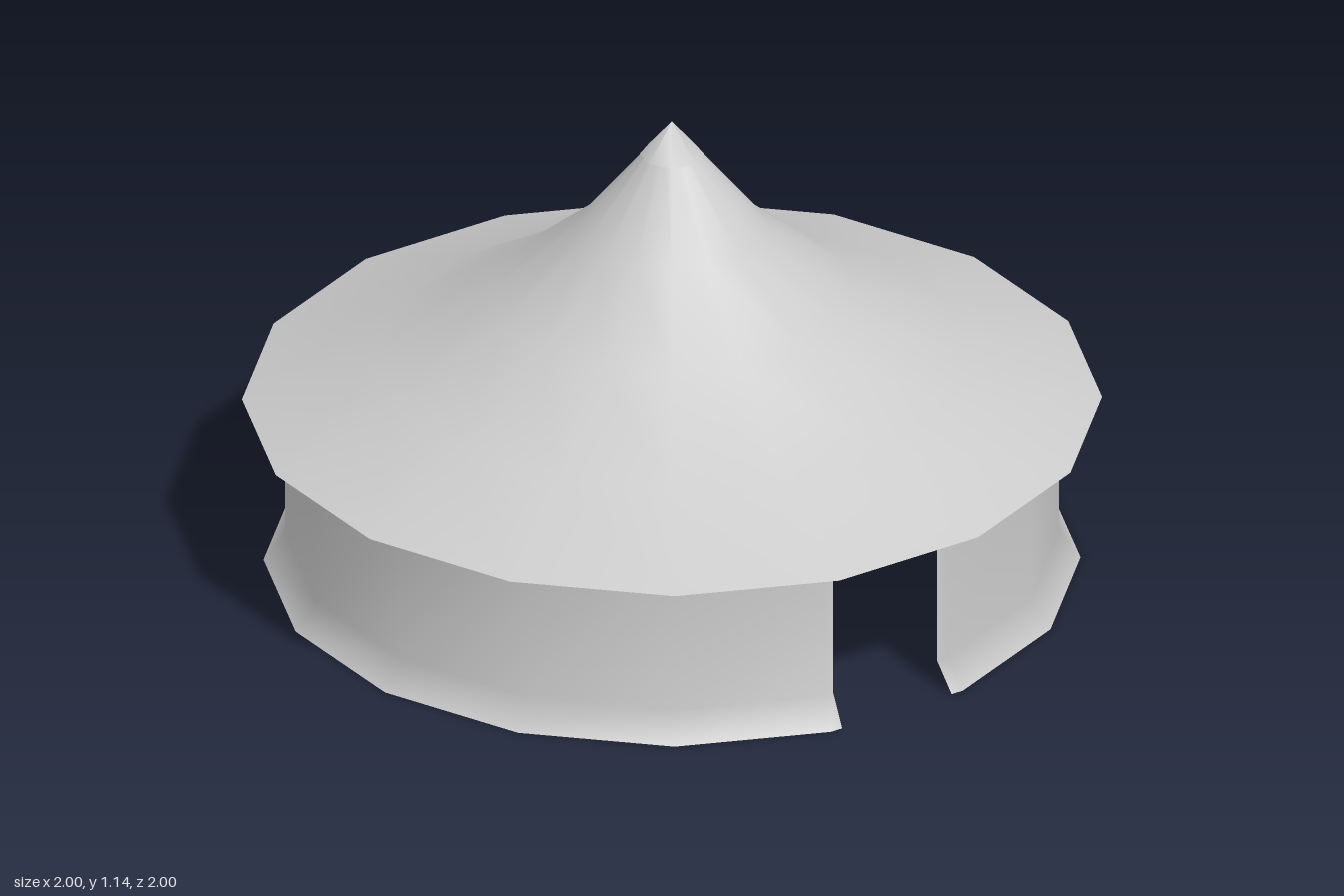
import * as THREE from 'three';

const SIDES = 16;
const material = new THREE.MeshStandardMaterial({ color: 0xcccccc, side: THREE.DoubleSide });

function add(group, name, geometry) {
  const mesh = new THREE.Mesh(geometry, material);
  mesh.name = name;
  group.add(mesh);
  return mesh;
}

// Sixteen-sided wall with a flared skirt; the last bay holds the doorway.
function wallGeometry() {
  const profile = [[0.95, 0], [0.9, 0.07], [0.9, 0.395], [0.9, 0.455]];
  const corner = i => {
    const a = (i / SIDES) * Math.PI * 2;
    return new THREE.Vector2(Math.sin(a), Math.cos(a));
  };
  const columns = [];
  for (let i = 0; i < SIDES; i++) columns.push(corner(i));
  // Door jambs lie on the straight side between the last corner and the first
  const doorColumn = columns.length;
  for (const t of [0.085, 0.915]) columns.push(corner(SIDES - 1).lerp(corner(SIDES), t));

  const positions = [], indices = [], rows = profile.length;
  for (const c of columns) for (const [r, y] of profile) positions.push(c.x * r, y, c.y * r);
  for (let i = 0; i < columns.length; i++) {
    const next = (i + 1) % columns.length;
    for (let j = 0; j < rows - 1; j++) {
      if (i === doorColumn && j < 2) continue; // open doorway below the lintel
      const a = i * rows + j, b = next * rows + j;
      indices.push(a, b, b + 1, a, b + 1, a + 1);
    }
  }
  const geometry = new THREE.BufferGeometry();
  geometry.setAttribute('position', new THREE.Float32BufferAttribute(positions, 3));
  geometry.setIndex(indices);
  geometry.computeVertexNormals();
  return geometry;
}

export function createModel() {
  const model = new THREE.Group();
  model.name = 'roundTent';

  add(model, 'wall', wallGeometry());

  // Sweeping open-bottomed roof
  const roofProfile = [[1, 0.42], [0.69, 0.54], [0.425, 0.7], [0.22, 0.87], [0.05, 1.08]]
    .map(([r, y]) => new THREE.Vector2(r, y));
  add(model, 'roof', new THREE.LatheGeometry(roofProfile, SIDES));

  // Pointed cap over the peak
  const cap = add(model, 'peakCap', new THREE.ConeGeometry(0.075, 0.085, 8, 1, true));
  cap.position.y = 1.1025;

  return model;
}
